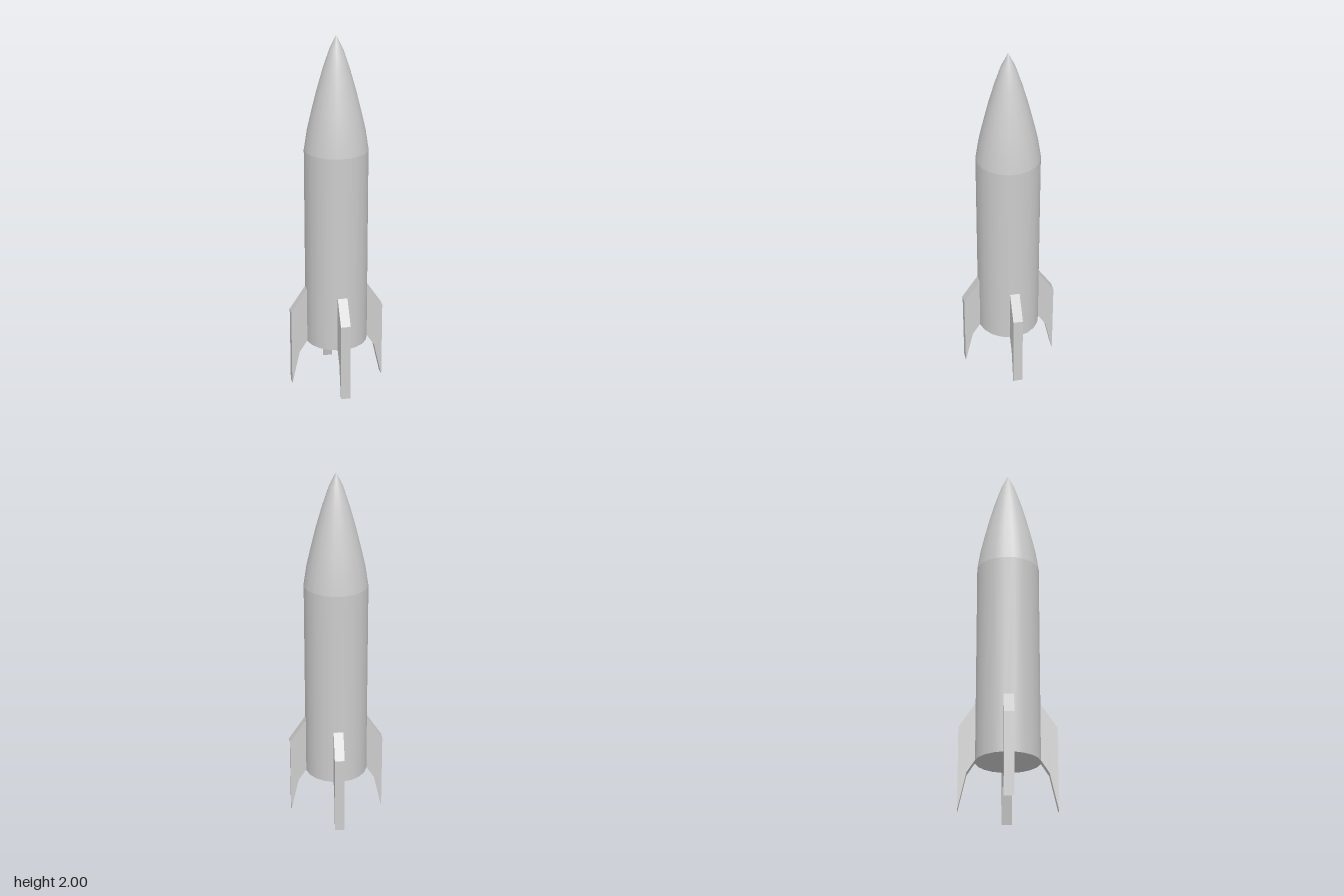
import * as THREE from 'three';

export function createModel() {
  const group = new THREE.Group();
  group.name = 'rocket';
  const material = new THREE.MeshStandardMaterial({ color: 0xcccccc });
  const sides = 20;
  const radius = 0.173;
  const bodyBottom = 0.26;
  const bodyTop = 1.38;

  const add = (name, geometry) => {
    const mesh = new THREE.Mesh(geometry, material);
    mesh.name = name;
    group.add(mesh);
    return mesh;
  };

  // Straight body with a closed base
  const bodyGeometry = new THREE.CylinderGeometry(radius, radius, bodyTop - bodyBottom, sides);
  add('body', bodyGeometry).position.y = (bodyTop + bodyBottom) / 2;

  // Curved nose cone rising to a point
  const noseProfile = [
    [radius, bodyTop], [0.156, 1.49], [0.133, 1.59], [0.106, 1.7],
    [0.072, 1.82], [0.037, 1.925], [0, 2],
  ].map(([r, y]) => new THREE.Vector2(r, y));
  add('noseCone', new THREE.LatheGeometry(noseProfile, sides));

  // Four swept fins on the diagonals, reaching below the body to the ground
  const thickness = 0.054;
  const finShape = new THREE.Shape([
    [0.16, 0.26], [0.173, 0.26], [0.215, 0.195], [0.259, 0],
    [0.26, 0], [0.26, 0.445], [0.173, 0.575], [0.16, 0.575],
  ].map(([r, y]) => new THREE.Vector2(r, y)));
  const finGeometry = new THREE.ExtrudeGeometry(finShape, { depth: thickness, bevelEnabled: false });
  finGeometry.translate(0, 0, -thickness / 2);
  const finNames = ['backLeftFin', 'backRightFin', 'frontRightFin', 'frontLeftFin'];
  finNames.forEach((name, i) => {
    add(name, finGeometry).rotation.y = Math.PI / 4 + (i * Math.PI) / 2;
  });

  return group;
}
